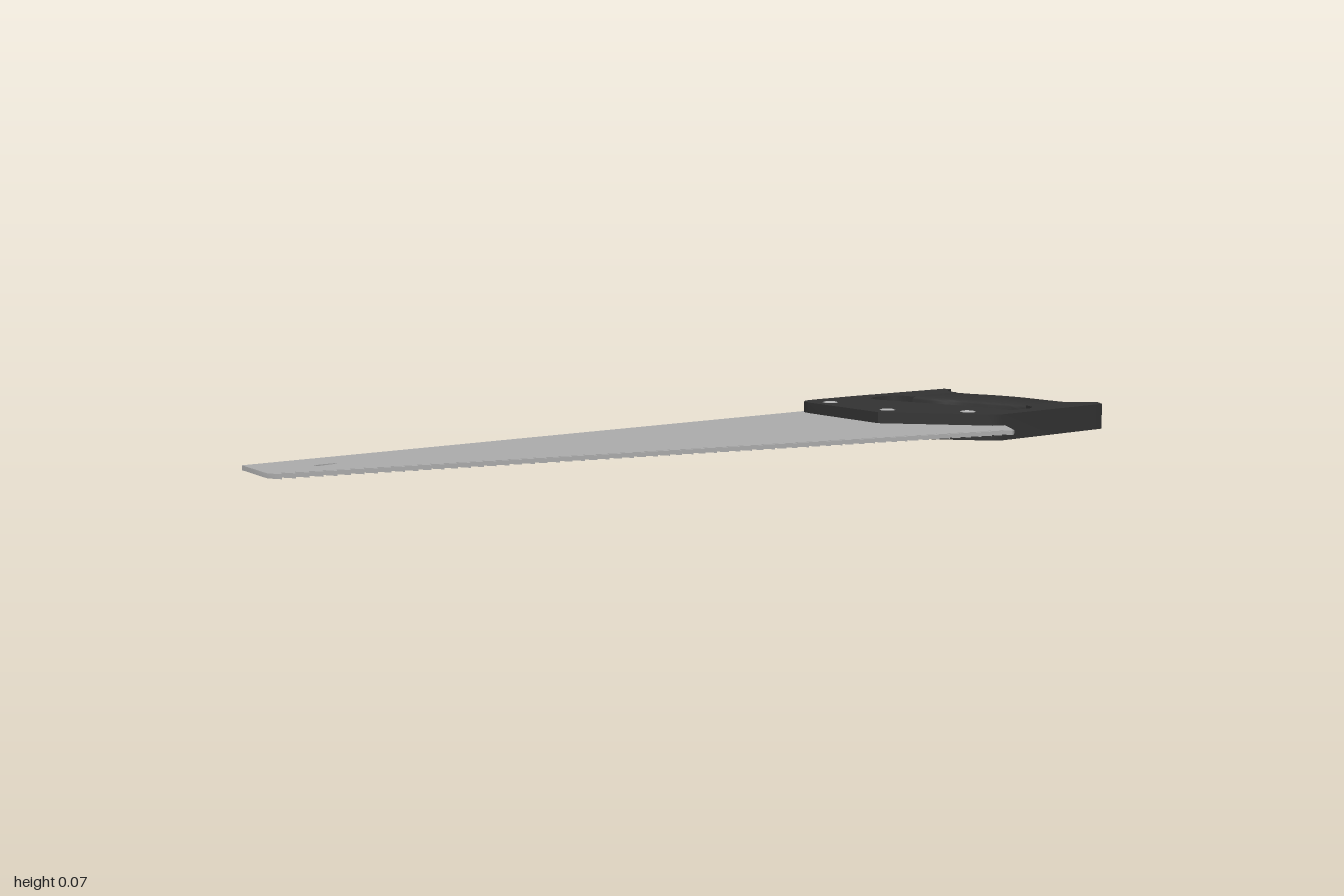
import * as THREE from 'three';
import { toCreasedNormals } from 'three/addons/utils/BufferGeometryUtils.js';

function flatColour(name, color) {
  const material = new THREE.MeshStandardMaterial({ color });
  material.name = name;
  return material;
}
const steel = flatColour('blade steel', 0xacacac);
const black = flatColour('handle plastic', 0x323232);
const rivetMetal = flatColour('rivet metal', 0xb8b8b8);

// Plan points are [x, z]; shapes are drawn with y = -z and later laid flat
const toVectors = (points) => points.map(([x, z]) => new THREE.Vector2(x, -z));
const smooth = (points) => new THREE.SplineCurve(toVectors(points)).getPoints(20);

function slab(name, shape, bottom, top, material, bevel = 0) {
  const geometry = new THREE.ExtrudeGeometry(shape, {
    depth: top - bottom - 2 * bevel,
    bevelEnabled: bevel > 0,
    bevelSize: bevel,
    bevelThickness: bevel,
    bevelOffset: -bevel,
    bevelSegments: 4,
  });
  geometry.translate(0, 0, bottom + bevel);
  geometry.rotateX(-Math.PI / 2);
  const mesh = new THREE.Mesh(toCreasedNormals(geometry, 0.7), material);
  mesh.name = name;
  return mesh;
}

// Tapered blade with a row of teeth and a recessed slot near the tip
function makeBlade() {
  const group = new THREE.Group();
  group.name = 'blade';
  const points = [[-1, -0.28], [0.54, -0.28], [0.56, -0.1], [0.64, 0.16], [0.66, 0.195], [0.612, 0.275]];
  const teeth = 62;
  const edge = (t) => [0.61 - 1.61 * t, 0.258 - 0.412 * t];
  for (let i = 0; i < teeth; i++) {
    const [tipX, tipZ] = edge((i + 0.3) / teeth);
    points.push([tipX, tipZ + 0.023], edge((i + 1) / teeth));
  }
  const shape = new THREE.Shape(toVectors(points));
  // Wound opposite to the outline so the recess walls face inwards
  const slot = toVectors([
    [-0.88, -0.18], [-0.85, -0.184], [-0.836, -0.19],
    [-0.838, -0.196], [-0.872, -0.196], [-0.89, -0.187],
  ]);
  shape.holes.push(new THREE.Path(slot));
  group.add(slab('bladePlate', shape, 0.029, 0.039, steel));
  group.add(slab('slotFloor', new THREE.Shape(slot), 0.029, 0.031, steel));
  return group;
}

// Cheek with upper and lower arms, joined at the back by a rounded grip
function makeHandle() {
  const group = new THREE.Group();
  group.name = 'handle';
  const body = new THREE.Shape(toVectors([
    [0.43, -0.24], [0.434, -0.265], [0.448, -0.278], [0.475, -0.281], [0.6, -0.28],
    [0.9, -0.262], [0.905, -0.242], [0.88, -0.228], [0.87, -0.212], [0.868, -0.185],
    [0.716, -0.185], [0.71, -0.213], [0.693, -0.229], [0.67, -0.233], [0.635, -0.233],
    [0.61, -0.22], [0.602, -0.19], [0.64, -0.095], [0.685, 0.02], [0.715, 0.11],
    [0.71, 0.14], [0.725, 0.157], [0.78, 0.16], [0.805, 0.145], [0.816, 0.112],
    [0.948, 0.125], [0.954, 0.138], [1, 0.175], [0.985, 0.202], [0.65, 0.202],
    [0.625, 0.192], [0.605, 0.17], [0.442, 0],
  ]));
  const grip = new THREE.Shape([
    ...smooth([[0.869, -0.205], [0.885, -0.145], [0.915, -0.08], [0.935, -0.01], [0.942, 0.06], [0.952, 0.138]]),
    ...smooth([[0.816, 0.138], [0.815, 0.11], [0.802, 0.06], [0.785, 0.01], [0.76, -0.06], [0.728, -0.125], [0.716, -0.205]]),
  ]);
  group.add(slab('handleBody', body, 0.004, 0.065, black));
  group.add(slab('grip', grip, 0.004, 0.065, black, 0.012));
  return group;
}

// Softly domed rivets pass through the handle and show on both faces
function makeRivets() {
  const group = new THREE.Group();
  group.name = 'rivets';
  const profile = [[0, 0], [0.014, 0.0005], [0.019, 0.002], [0.019, 0.065], [0.014, 0.0665], [0, 0.067]]
    .map(([r, y]) => new THREE.Vector2(r, y));
  const geometry = new THREE.LatheGeometry(profile, 20);
  for (const [x, z] of [[0.476, -0.215], [0.49, -0.022], [0.618, 0.117]]) {
    const rivet = new THREE.Mesh(geometry, rivetMetal);
    rivet.name = 'rivet';
    rivet.position.set(x, 0, z);
    group.add(rivet);
  }
  return group;
}

export function createModel() {
  const saw = new THREE.Group();
  saw.name = 'handSaw';
  saw.add(makeBlade(), makeHandle(), makeRivets());
  return saw;
}
